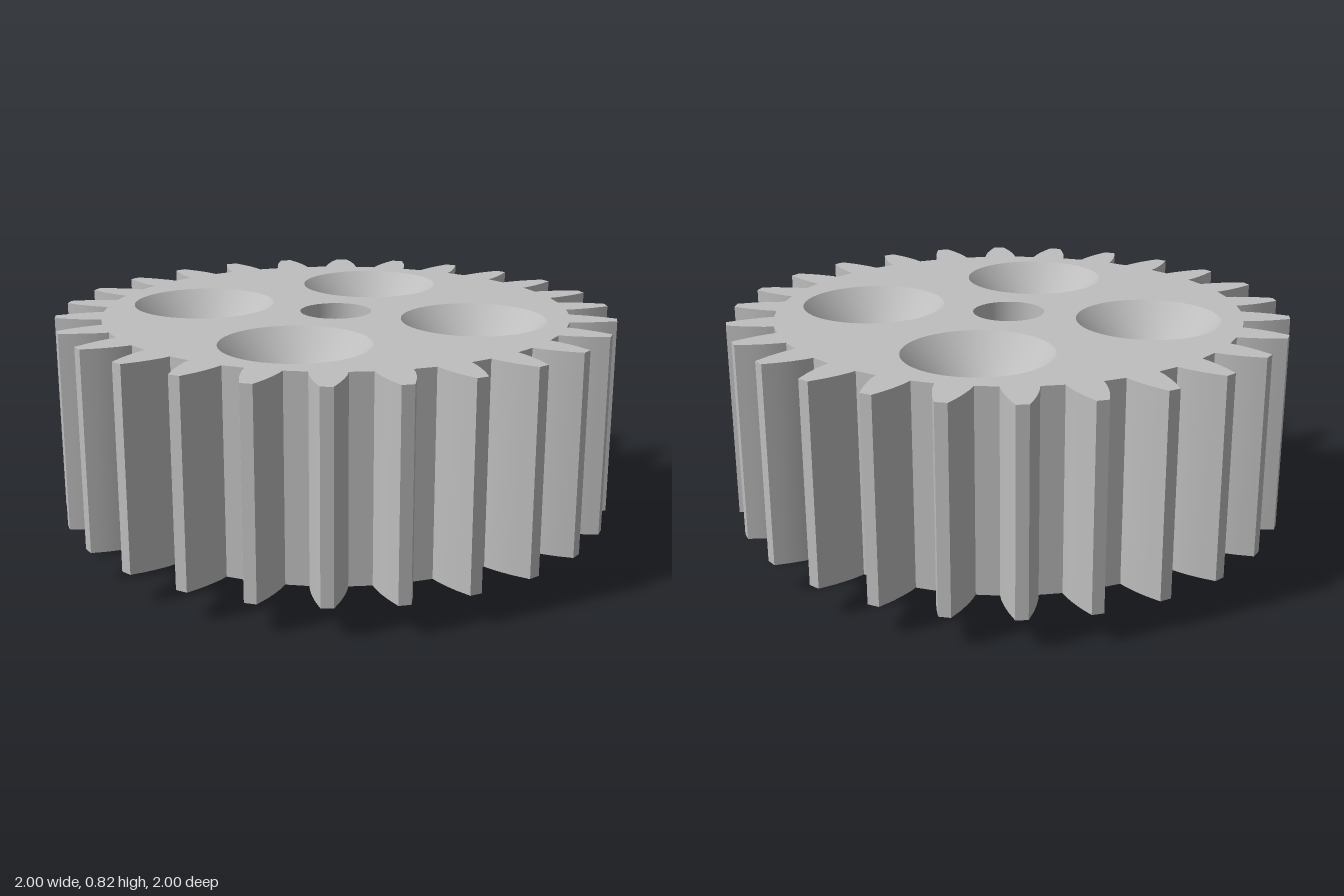
import * as THREE from 'three';
import { toCreasedNormals } from 'three/addons/utils/BufferGeometryUtils.js';

const SEG = 64;
const TOP = 0.82, BOTTOM = 0.11, FLOOR = 0.185;   // gear faces and underside recess
const SOCKET = 0.3, LEDGE = 0.37;                 // centre bore steps
const RIM = 0.735, HUB = 0.32, HEAD = 0.128, BORE = 0.107;
const HOLE = 0.088, HOLE_RING = 0.505, HOLE_TURN = 0.452;

// Point [x, z] at a clockwise angle from the back
const polar = (r, a) => [r * Math.sin(a), -r * Math.cos(a)];

function circle(r, cx = 0, cz = 0) {
  return Array.from({ length: SEG }, (_, i) => {
    const [x, z] = polar(r, (i / SEG) * Math.PI * 2);
    return [x + cx, z + cz];
  });
}

// Repeats a profile of [angle offset, radius] around the axis
function toothedRing(count, phase, profile) {
  const points = [];
  for (let i = 0; i < count; i++) {
    const mid = phase + (i / count) * Math.PI * 2;
    for (const [da, r] of profile) points.push(polar(r, mid + da));
  }
  return points;
}

// Flat horizontal face with holes, facing up or down
function face(outer, holes, y, up) {
  const toVec = ([x, z]) => new THREE.Vector2(x, up ? -z : z);
  const shape = new THREE.Shape(outer.map(toVec));
  for (const h of holes) shape.holes.push(new THREE.Path(h.map(toVec)));
  return new THREE.ShapeGeometry(shape).rotateX(up ? -Math.PI / 2 : Math.PI / 2).translate(0, y, 0);
}

// Upright wall along a closed outline
function wall(points, y0, y1, inward) {
  const pos = [], index = [], n = points.length;
  points.forEach(([x, z], i) => {
    pos.push(x, y0, z, x, y1, z);
    const a = 2 * i, b = 2 * ((i + 1) % n);
    if (inward) index.push(a, b, a + 1, b, b + 1, a + 1);
    else index.push(a, a + 1, b, b, a + 1, b + 1);
  });
  const geo = new THREE.BufferGeometry();
  geo.setAttribute('position', new THREE.Float32BufferAttribute(pos, 3));
  geo.setIndex(index);
  return toCreasedNormals(geo, 0.4);
}

// Turned surface with sharp steps between profile points
function turned(profile) {
  const points = profile.map(([r, y]) => new THREE.Vector2(r, y));
  return toCreasedNormals(new THREE.LatheGeometry(points, SEG), 0.4);
}

export function createModel() {
  const group = new THREE.Group();
  const grey = new THREE.MeshStandardMaterial({ color: 0xbebebe });
  grey.name = 'grey';

  const add = (name, geometry, x = 0, z = 0) => {
    const mesh = new THREE.Mesh(geometry, grey);
    mesh.name = name;
    mesh.position.set(x, 0, z);
    group.add(mesh);
  };

  // Gear outline: 26 curved teeth, each given as [radius, half width]
  const flank = [[0.838, 0.062], [0.87, 0.059], [0.91, 0.051], [0.95, 0.04], [0.98, 0.029], [1.002, 0.021]];
  const tooth = [
    ...flank.map(([r, w]) => [-w / r, r]),
    ...flank.slice().reverse().map(([r, w]) => [w / r, r]),
  ];
  const outline = toothedRing(26, -0.03, tooth);

  // Splined drive socket outline
  const spline = toothedRing(25, 0, [[-0.085, 0.203], [-0.04, 0.185], [0.04, 0.185], [0.085, 0.203]]);

  // Four screw hole centres
  const centres = Array.from({ length: 4 }, (_, i) => polar(HOLE_RING, HOLE_TURN + (i * Math.PI) / 2));
  const holesOf = (r) => centres.map(([x, z]) => circle(r, x, z));

  // Gear body
  add('gearTeeth', wall(outline, BOTTOM, TOP, false));
  add('topFace', face(outline, [circle(HEAD), ...holesOf(0.257)], TOP, true));
  add('bottomRim', face(outline, [circle(RIM)], BOTTOM, false));

  // Underside recess
  add('recessWall', turned([[RIM, FLOOR], [RIM, BOTTOM]]));
  add('recessFloor', face(circle(RIM), [circle(HUB), ...holesOf(HOLE)], FLOOR, false));

  // Hub with splined socket
  add('hubSide', turned([[HUB, 0], [HUB, FLOOR]]));
  add('hubEnd', face(circle(HUB), [spline], 0, false));
  add('socketSpline', wall(spline, 0, SOCKET, true));
  add('socketCeiling', face(spline, [circle(BORE)], SOCKET, false));

  // Stepped centre bore
  add('centreBore', turned([[HEAD, TOP], [HEAD, LEDGE], [BORE, LEDGE], [BORE, SOCKET]]));

  // Countersunk screw holes
  const pocket = turned([[0.257, TOP], [0.123, 0.67], [0.123, 0.38], [HOLE, 0.38], [HOLE, FLOOR]]);
  for (const [x, z] of centres) add('screwHole', pocket, x, z);

  return group;
}
